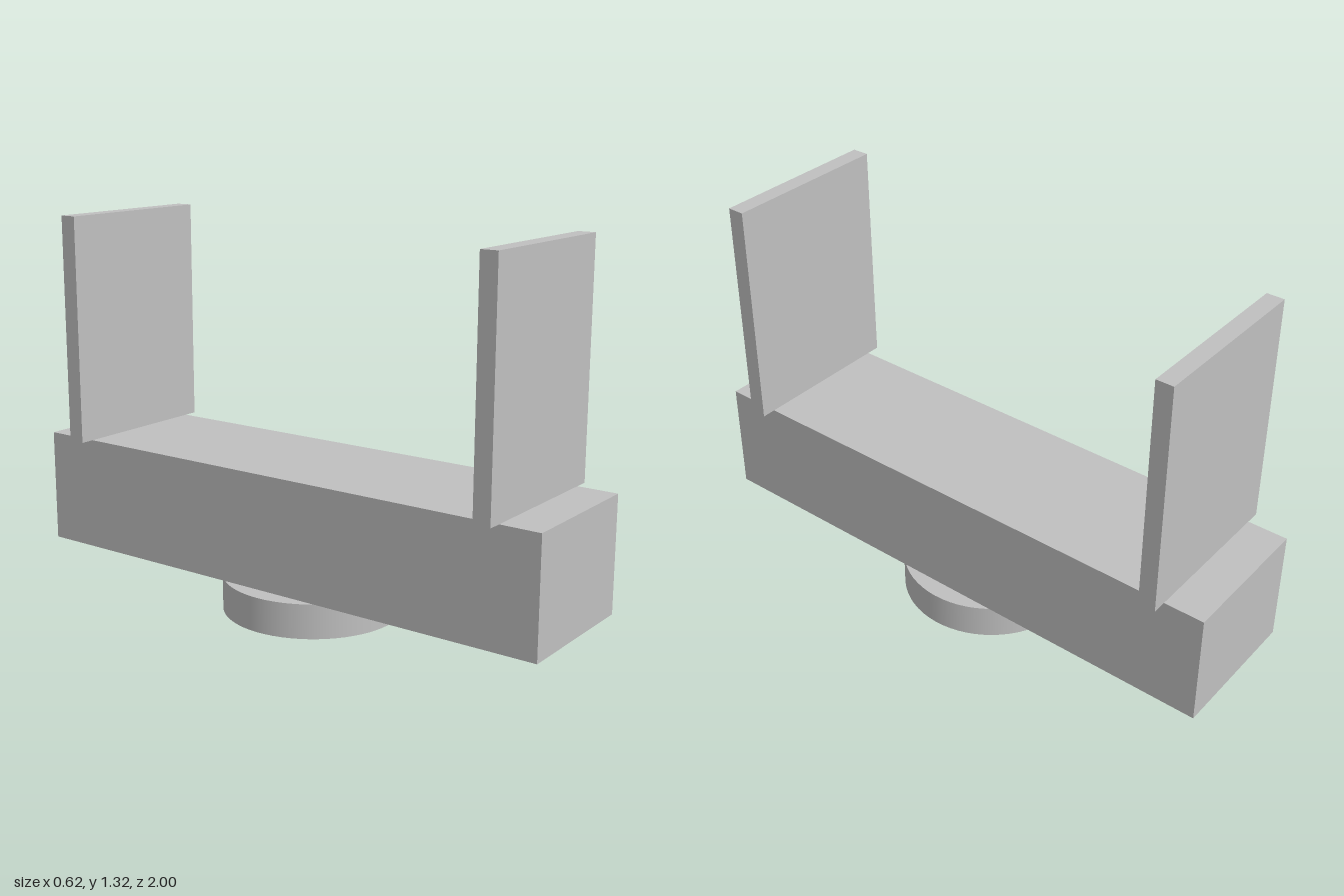
import * as THREE from 'three';

export function createModel() {
  const model = new THREE.Group();
  model.name = 'cradleStand';

  const grey = new THREE.MeshStandardMaterial({ color: 0xc0c0c0 });
  grey.name = 'light grey';

  const add = (name, geometry, x, y, z) => {
    const mesh = new THREE.Mesh(geometry, grey);
    mesh.name = name;
    mesh.position.set(x, y, z);
    model.add(mesh);
    return mesh;
  };

  const baseTop = 0.12;
  const beamTop = 0.52;
  const plateHeight = 0.8;

  // Round foot under the middle
  add('base', new THREE.CylinderGeometry(0.3125, 0.3125, baseTop, 64), 0, baseTop / 2, 0);

  // Long beam resting on the foot
  add('beam', new THREE.BoxGeometry(0.5, beamTop - baseTop, 2), 0, (baseTop + beamTop) / 2, 0);

  // Upright plates near both ends
  for (const [name, side] of [['frontPlate', 1], ['backPlate', -1]]) {
    add(name, new THREE.BoxGeometry(0.6, plateHeight, 0.06), 0, beamTop + plateHeight / 2, side * 0.83);
  }

  return model;
}
